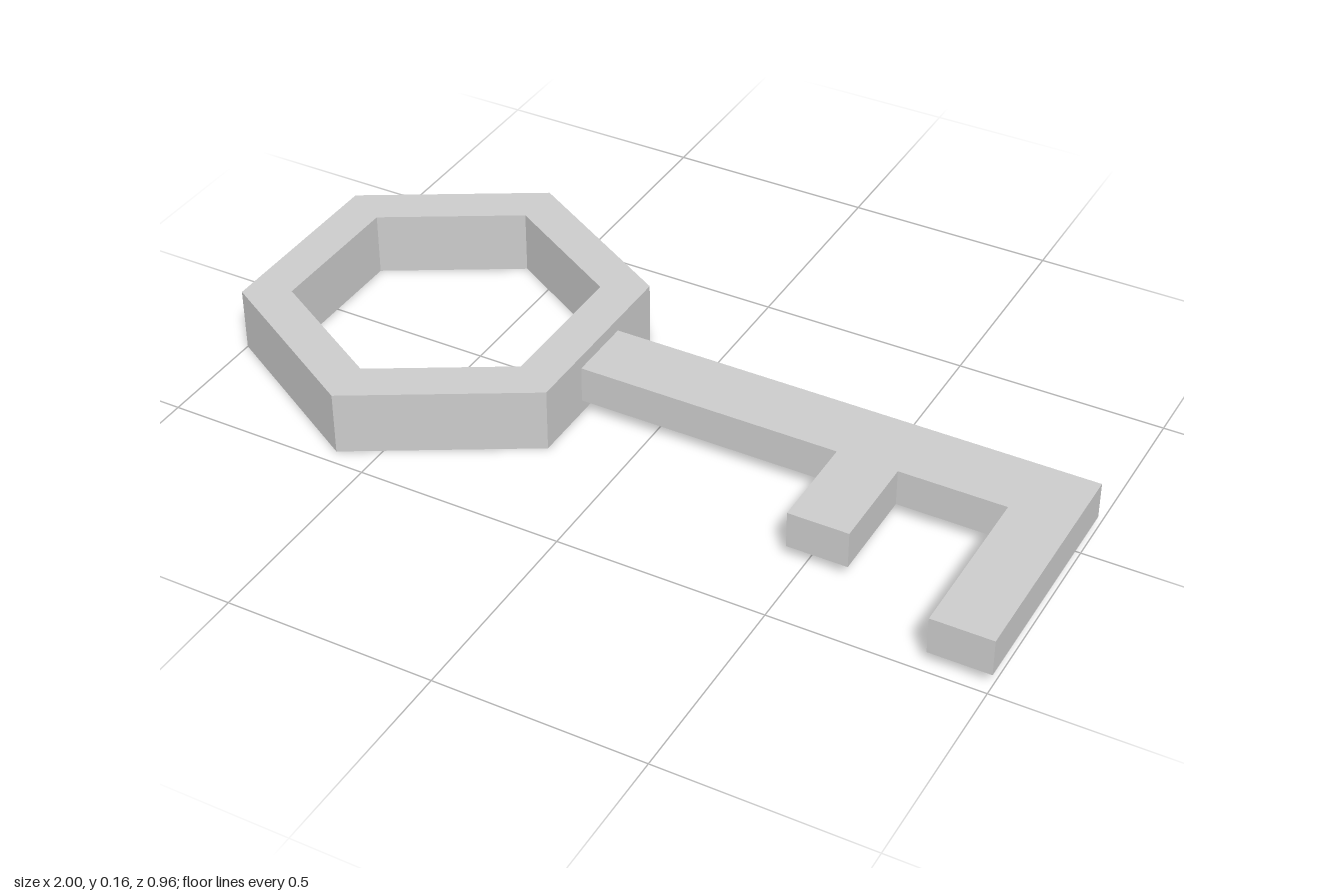
import * as THREE from 'three';

const BOW = { x: -0.591, z: -0.008, outer: 0.472, inner: 0.357, height: 0.155 };
const SHAFT = { bottom: 0.033, height: 0.09 };

// Corner points of a pointed-top hexagon around the bow centre
function hexagon(radius) {
  return Array.from({ length: 6 }, (_, i) => {
    const a = Math.PI / 6 + (i * Math.PI) / 3;
    return new THREE.Vector2(BOW.x + radius * Math.cos(a), -BOW.z + radius * Math.sin(a));
  });
}

// Extrude a plan outline (x, -z) upwards from a given height
function slab(name, shape, bottom, height, material) {
  const geometry = new THREE.ExtrudeGeometry(shape, { depth: height, bevelEnabled: false });
  geometry.rotateX(-Math.PI / 2);
  geometry.translate(0, bottom, 0);
  const mesh = new THREE.Mesh(geometry, material);
  mesh.name = name;
  return mesh;
}

export function createModel() {
  const group = new THREE.Group();
  group.name = 'key';
  const metal = new THREE.MeshStandardMaterial({ color: 0xcccccc });
  metal.name = 'light grey metal';

  // Hexagonal ring handle
  const ring = new THREE.Shape(hexagon(BOW.outer));
  ring.holes.push(new THREE.Path(hexagon(BOW.inner)));
  group.add(slab('bow', ring, 0, BOW.height, metal));

  // Shaft with a short and a long tooth, as one outline in x, z
  const outline = [
    [-0.19, -0.093], [-0.19, 0.075], [0.455, 0.075], [0.455, 0.315],
    [0.6, 0.315], [0.6, 0.075], [0.855, 0.075], [0.855, 0.479],
    [1, 0.479], [1, -0.093],
  ].map(([x, z]) => new THREE.Vector2(x, -z));
  group.add(slab('shaftAndTeeth', new THREE.Shape(outline), SHAFT.bottom, SHAFT.height, metal));

  return group;
}
